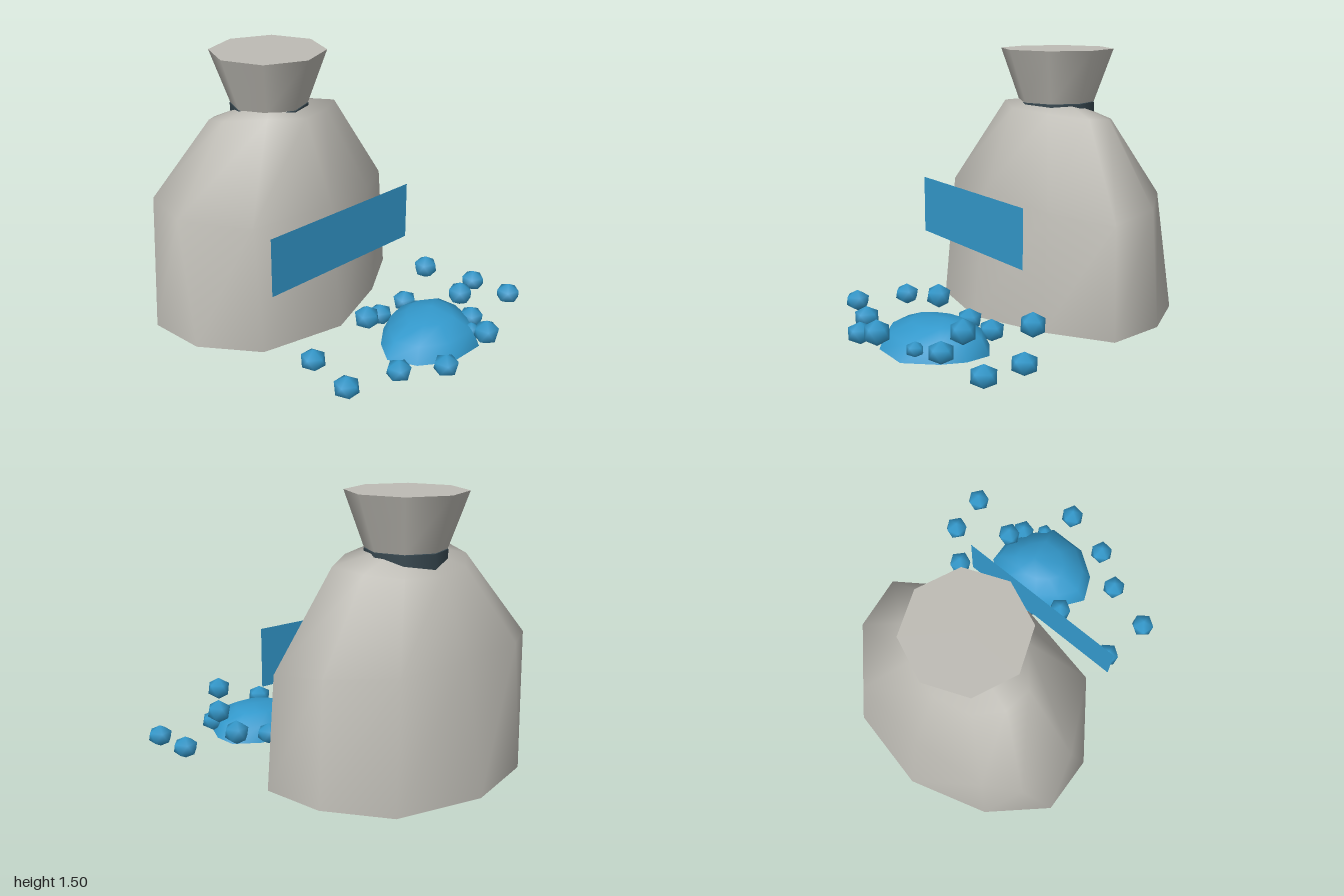
import * as THREE from 'three';

const material = (name, color, side = THREE.FrontSide) => {
  const m = new THREE.MeshStandardMaterial({ color, side });
  m.name = name;
  return m;
};

// Smooth skin over rings of [x, y, z] points (bottom to top), closed by an apex
function loft(rings, apex) {
  const n = rings[0].length;
  const index = [];
  const top = rings.length * n;
  rings.forEach((ring, r) => {
    for (let i = 0; i < n; i++) {
      const a = r * n + i, b = r * n + (i + 1) % n;
      if (r < rings.length - 1) index.push(a, b, b + n, a, b + n, a + n);
      else index.push(a, b, top);
    }
  });
  const geo = new THREE.BufferGeometry();
  geo.setAttribute('position', new THREE.Float32BufferAttribute([...rings.flat(2), ...apex], 3));
  geo.setIndex(index);
  geo.computeVertexNormals();
  return geo;
}

export function createModel() {
  const group = new THREE.Group();
  const cloth = material('sackCloth', 0xbdbbb4, THREE.DoubleSide);
  const slate = material('darkTie', 0x37474f);
  const blue = material('blue', 0x3399cc, THREE.DoubleSide);

  const add = (name, geo, mat, x = 0, y = 0, z = 0, parent = group) => {
    const mesh = new THREE.Mesh(geo, mat);
    mesh.name = name;
    mesh.position.set(x, y, z);
    parent.add(mesh);
    return mesh;
  };

  // Lumpy sack, open underneath
  const hem = [
    [-0.12, 0, 0.15], [0.32, 0, -0.02], [0.655, 0, -0.24], [0.6, 0, -0.59], [0.37, 0, -0.9],
    [-0.12, 0, -1], [-0.57, 0, -0.86], [-0.855, 0, -0.59], [-0.835, 0, -0.25], [-0.61, 0, 0.05],
  ];
  const belly = [
    [-0.12, 0.73, 0.07], [0.3, 0.66, -0.05], [0.62, 0.62, -0.26], [0.56, 0.66, -0.57], [0.3, 0.68, -0.84],
    [-0.12, 0.7, -0.88], [-0.54, 0.7, -0.83], [-0.73, 0.71, -0.72], [-0.8, 0.7, -0.4], [-0.6, 0.71, -0.02],
  ];
  const shoulder = [
    [-0.12, 1.175, -0.115], [0.1, 1.16, -0.19], [0.3, 1.14, -0.33], [0.25, 1.12, -0.51], [0.1, 1.1, -0.65],
    [-0.12, 1.09, -0.69], [-0.33, 1.11, -0.65], [-0.46, 1.15, -0.53], [-0.48, 1.18, -0.38], [-0.32, 1.2, -0.2],
  ];
  add('sackBody', loft([hem, belly, shoulder], [-0.12, 1.23, -0.42]), cloth);

  // Tie and flared neck
  add('neckTie', new THREE.CylinderGeometry(0.22, 0.22, 0.1, 8), slate, -0.12, 1.147, -0.42);
  add('sackNeck', new THREE.CylinderGeometry(0.325, 0.217, 0.3, 8), cloth, -0.12, 1.35, -0.42);

  // Flat label in front of the sack
  add('label', new THREE.PlaneGeometry(1.03, 0.33), blue, -0.125, 0.565, 0.17);

  // Low pile, open underneath
  const outline = [
    [0.04, 0.83], [0.27, 0.83], [0.4, 0.68], [0.45, 0.55], [0.44, 0.41], [0.3, 0.32],
    [0.18, 0.3], [0.03, 0.34], [-0.1, 0.44], [-0.19, 0.57], [-0.12, 0.72],
  ];
  const ring = (scale, y) => outline.map(([x, z]) =>
    [0.18 + (x - 0.18) * scale, y, 0.54 + (z - 0.54) * scale]);
  add('pile', loft([ring(1, 0), ring(0.84, 0.085), ring(0.48, 0.138)], [0.2, 0.16, 0.54]), blue);

  // Smooth-shaded icosahedral bead standing on a corner
  const beadGeo = new THREE.IcosahedronGeometry(0.073, 0);
  beadGeo.rotateX(-Math.atan((1 + Math.sqrt(5)) / 2));
  const pos = beadGeo.attributes.position, v = new THREE.Vector3();
  for (let i = 0; i < pos.count; i++) {
    v.fromBufferAttribute(pos, i).normalize();
    beadGeo.attributes.normal.setXYZ(i, v.x, v.y, v.z);
  }

  // Scattered beads: x, z, and 1 for those sitting higher
  const beads = new THREE.Group();
  beads.name = 'beads';
  group.add(beads);
  [
    [-0.535, 0.36, 0], [-0.585, 0.655, 0], [-0.14, 0.37, 1], [0.055, 0.29, 0], [0.27, 0.285, 0],
    [0.54, 0.21, 1], [0.75, 0.41, 0], [0.77, 0.655, 0], [0.43, 0.56, 1], [0.4, 0.67, 0],
    [0.29, 0.755, 0, 0.7], [0.2, 0.92, 1], [-0.08, 0.88, 0], [-0.29, 0.74, 0],
  ].forEach(([x, z, high, size = 1], i) => {
    const bead = add('bead', beadGeo, blue, x, high ? 0.157 : 0.062, z, beads);
    bead.scale.set(size, size * (high ? 0.95 : 0.85), size);
    bead.rotation.y = i * 1.3;
  });

  return group;
}
